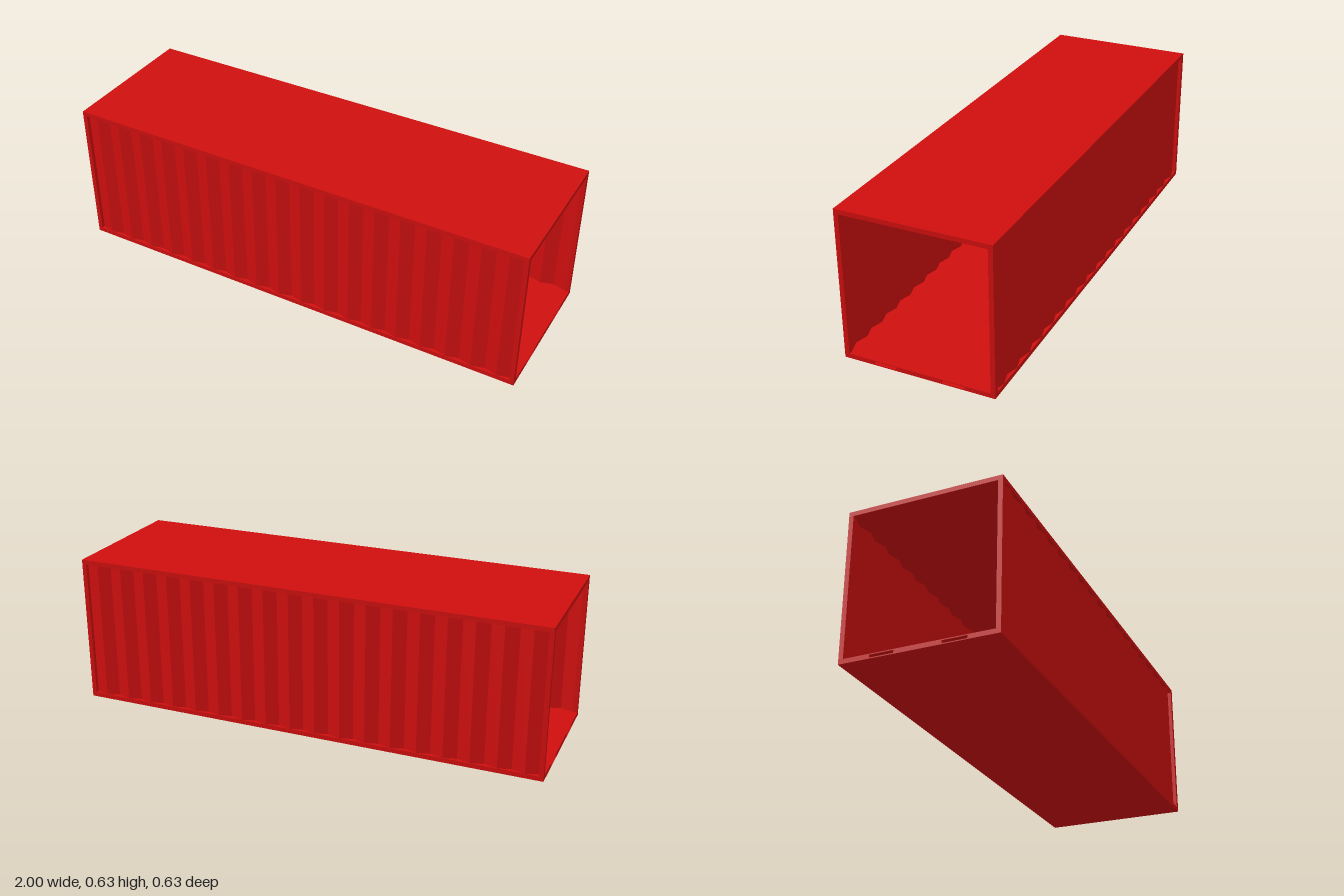
import * as THREE from 'three';

const LENGTH = 2, SIZE = 0.626, HALF = SIZE / 2, T = 0.019;
const FOLDS = 36;          // slanted strips in each side wall
const POCKET_DEPTH = 0.02;

export function createModel() {
  const model = new THREE.Group();
  model.name = 'cargoContainer';
  const red = new THREE.MeshStandardMaterial({ color: 0xd00f0f, flatShading: true, side: THREE.DoubleSide });

  const add = (name, geometry, x = 0, y = 0, z = 0) => {
    const mesh = new THREE.Mesh(geometry, red);
    mesh.name = name;
    mesh.position.set(x, y, z);
    model.add(mesh);
    return mesh;
  };
  const box = (name, w, h, d, x, y, z) => add(name, new THREE.BoxGeometry(w, h, d), x, y, z);

  // Rectangle outline used for the floor ends and their pockets
  const rect = (Type, x0, y0, x1, y1) => new Type([
    new THREE.Vector2(x0, y0), new THREE.Vector2(x1, y0),
    new THREE.Vector2(x1, y1), new THREE.Vector2(x0, y1),
  ]);

  // Roof and floor plates
  box('roof', LENGTH, T, SIZE, 0, SIZE - T / 2, 0);
  box('floor', LENGTH - 2 * POCKET_DEPTH, T, SIZE, 0, T / 2, 0);

  // Floor ends with two shallow lifting pockets each
  const endShape = rect(THREE.Shape, -HALF, 0, HALF, T);
  for (const s of [-1, 1]) {
    const a = s * 0.093, b = s * 0.189;
    endShape.holes.push(rect(THREE.Path, Math.min(a, b), 0.004, Math.max(a, b), 0.015));
  }
  const endGeometry = new THREE.ExtrudeGeometry(endShape, { depth: POCKET_DEPTH, bevelEnabled: false });
  endGeometry.rotateY(Math.PI / 2);
  add('floorEndLeft', endGeometry, 1 - POCKET_DEPTH);
  add('floorEndRight', endGeometry, -1);

  // Zigzag outline of a side wall, seen from above: outer line, then back along the inner line
  const span = LENGTH - 2 * T, sheet = 0.002;
  const outer = [], inner = [];
  for (let i = 0; i <= FOLDS; i++) {
    const x = -span / 2 + (i / FOLDS) * span;
    const z = i % 2 ? HALF - 0.001 : HALF - T + 0.003;
    outer.push(new THREE.Vector2(x, z));
    inner.unshift(new THREE.Vector2(x, z - sheet));
  }
  const wallGeometry = new THREE.ExtrudeGeometry(new THREE.Shape([...outer, ...inner]),
    { depth: SIZE - 2 * T, bevelEnabled: false });
  wallGeometry.rotateX(Math.PI / 2);

  // Side walls and corner posts
  for (const [side, s] of [['front', 1], ['back', -1]]) {
    const wall = add(side + 'Wall', wallGeometry, 0, SIZE - T);
    if (s < 0) wall.rotation.y = Math.PI;
    for (const [end, e] of [['Left', 1], ['Right', -1]]) {
      box(side + end + 'Post', T, SIZE - 2 * T, T, e * (1 - T / 2), HALF, s * (HALF - T / 2));
    }
  }
  return model;
}
